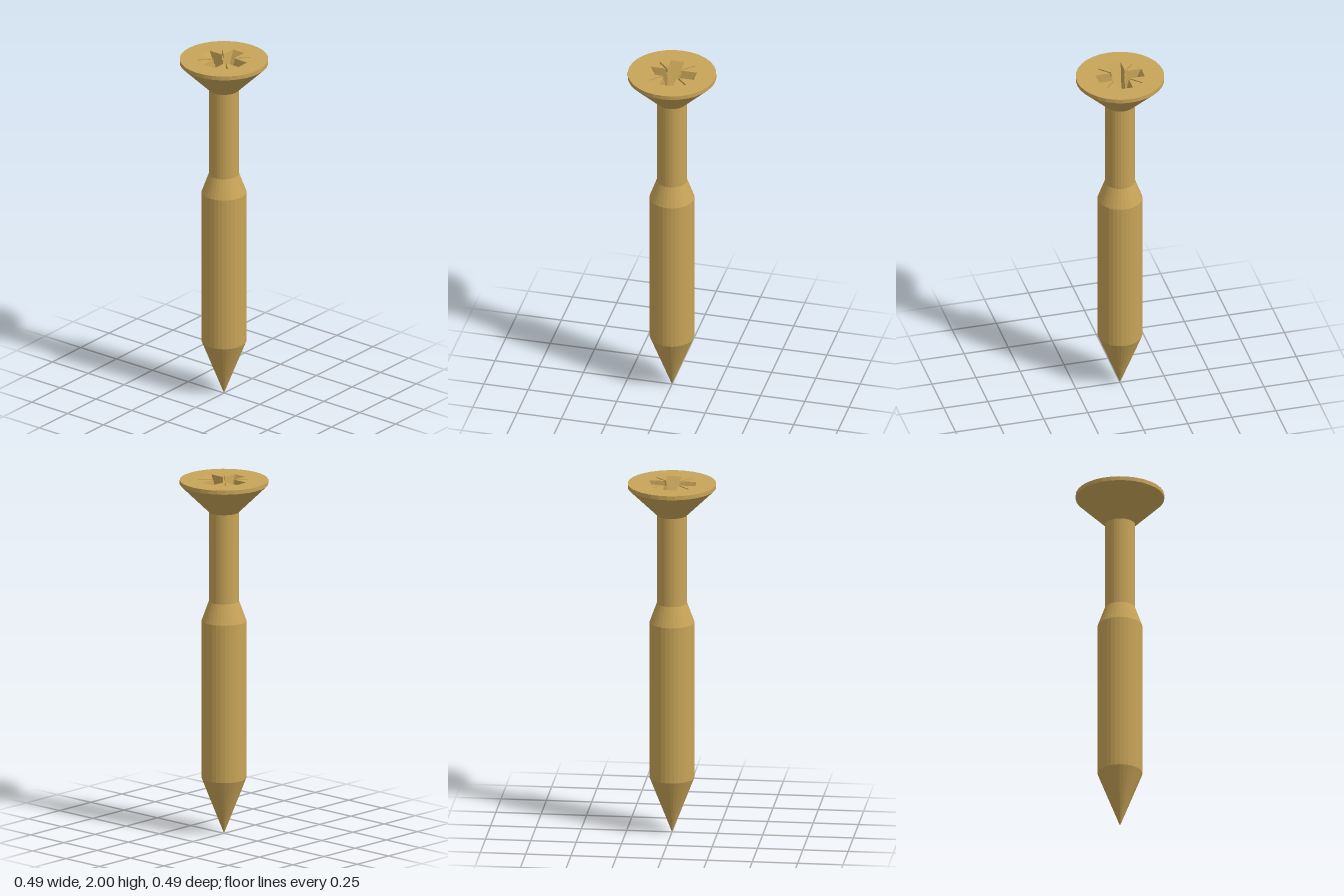
import * as THREE from 'three';

const SIDES = 32, TOP = 2, HEAD_R = 0.243;
// Recess sizes: arm reach and half-width at the top and at the floor
const A = 0.131, c = 0.0385, B = 0.063, f = 0.025, D = 0.12;
// Central pilot hole
const r = 0.046, q = Math.sqrt(r * r - f * f), m = r / Math.SQRT2;
const mDepth = D * (c - m) / (c - f);
// Diagonal slits: width, depth, reach at the top and at the floor
const e = 0.0065, h = e / 2, s = 0.03, d = 0.101, g = 0.086;
const k = c - (c - f) * s / D;

const quarterTurn = ([x, y, z]) => [-z, y, x];
const mirrorZ = (poly) => poly.map(([x, y, z]) => [x, y, -z]).reverse();
const swapXZ = (poly) => poly.map(([x, y, z]) => [z, y, x]).reverse();

// Turns polygons into triangle fans, each around its first corner
function fanGeometry(polys) {
  const pos = [];
  for (const p of polys)
    for (let i = 1; i < p.length - 1; i++) pos.push(...p[0], ...p[i], ...p[i + 1]);
  const geo = new THREE.BufferGeometry();
  geo.setAttribute('position', new THREE.Float32BufferAttribute(pos, 3));
  geo.computeVertexNormals();
  return geo;
}

function recessGeometry() {
  const sideWall = [[k + e, -s, k], [c + e, 0, c], [A, 0, c], [B, -D, f], [q, -D, f], [m, -mDepth, m], [k, -s, k]];
  // The mirrored wall fans from the same reflex corner
  const otherWall = mirrorZ(sideWall);
  otherWall.unshift(otherWall.pop());
  const slitWall = [[c + e, 0, c], [k + e, -s, k], [g + h, -s, g - h], [d + h, 0, d - h]];
  let quarter = [
    sideWall, otherWall,
    // arm end and floor
    [[A, 0, c], [A, 0, -c], [B, -D, -f], [B, -D, f]],
    [[r, -D, 0], [q, -D, f], [B, -D, f], [B, -D, -f], [q, -D, -f]],
    // round corner cut by the pilot hole
    [[m, -mDepth, m], [q, -D, f], [m, -D, m]],
    [[m, -mDepth, m], [m, -D, m], [f, -D, q]],
    // slit
    slitWall, swapXZ(slitWall),
    [[d - h, 0, d + h], [d + h, 0, d - h], [g + h, -s, g - h], [g - h, -s, g + h]],
    [[k, -s, k], [k, -s, k + e], [g - h, -s, g + h], [g + h, -s, g - h], [k + e, -s, k]],
  ];
  const polys = [];
  for (let i = 0; i < 4; i++) {
    polys.push(...quarter);
    quarter = quarter.map((p) => p.map(quarterTurn));
  }
  return fanGeometry(polys);
}

// Flat top disc with the cross-and-slits opening
function topGeometry() {
  const circle = [];
  for (let i = 0; i < SIDES; i++) {
    const a = (i / SIDES) * Math.PI * 2;
    circle.push(new THREE.Vector2(HEAD_R * Math.cos(a), HEAD_R * Math.sin(a)));
  }
  const shape = new THREE.Shape(circle);
  const hole = [];
  let corner = [[A, 0, -c], [A, 0, c], [c + e, 0, c], [d + h, 0, d - h], [d - h, 0, d + h], [c, 0, c + e]];
  for (let i = 0; i < 4; i++) {
    hole.push(...corner.map(([x, , z]) => new THREE.Vector2(x, z)));
    corner = corner.map(quarterTurn);
  }
  shape.holes.push(new THREE.Path(hole));
  return new THREE.ShapeGeometry(shape).rotateX(-Math.PI / 2);
}

const lathe = (pts) => new THREE.LatheGeometry(pts.map(([x, y]) => new THREE.Vector2(x, y)), SIDES);

export function createModel() {
  const group = new THREE.Group();
  group.name = 'screw';
  const material = new THREE.MeshStandardMaterial({ color: 0xc8a458, flatShading: true });
  const add = (name, geometry, y = 0) => {
    const mesh = new THREE.Mesh(geometry, material);
    mesh.name = name;
    mesh.position.y = y;
    group.add(mesh);
  };

  // Shaft, from the tip up
  add('tip', lathe([[0, 0], [0.123, 0.315]]));
  add('wideShaft', lathe([[0.123, 0.315], [0.123, 1.205]]));
  add('shoulder', lathe([[0.123, 1.205], [0.083, 1.315]]));
  add('neck', lathe([[0.083, 1.315], [0.083, 1.82]]));

  // Countersunk head and its drive recess
  add('headCone', lathe([[0.083, 1.82], [HEAD_R, 1.977]]));
  add('headRim', lathe([[HEAD_R, 1.977], [HEAD_R, TOP]]));
  add('headTop', topGeometry(), TOP);
  add('driveRecess', recessGeometry(), TOP);
  add('recessCone', lathe([[r, -D], [0, -D - 0.025]]), TOP);
  return group;
}
